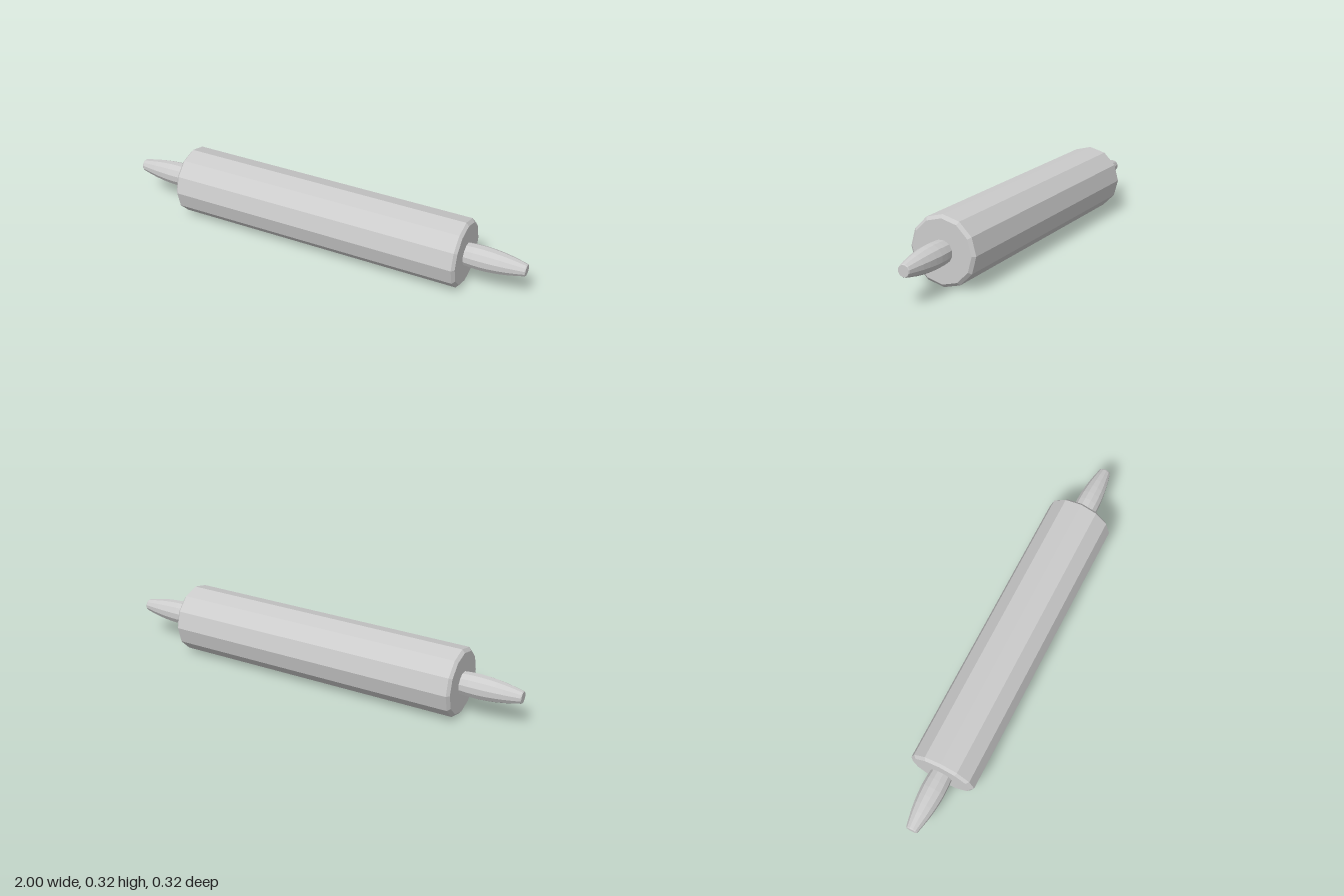
import * as THREE from 'three';

const SIDES = 12;
const AXIS_Y = 0.16;

// Turned part along +x from [position, radius] pairs
function turned(name, profile, phase, material) {
  const points = profile.map(([x, r]) => new THREE.Vector2(r, x));
  const geometry = new THREE.LatheGeometry(points, SIDES, phase);
  geometry.rotateZ(-Math.PI / 2);
  const mesh = new THREE.Mesh(geometry, material);
  mesh.name = name;
  return mesh;
}

export function createModel() {
  const model = new THREE.Group();
  model.name = 'rollingPin';
  const material = new THREE.MeshStandardMaterial({ color: 0xcccccc, flatShading: true });

  // Faceted barrel with chamfered ends
  const roller = turned('roller', [
    [-0.72, 0], [-0.72, 0.145], [-0.707, 0.16],
    [0.707, 0.16], [0.72, 0.145], [0.72, 0],
  ], 0, material);
  roller.position.y = AXIS_Y;
  model.add(roller);

  // Bulging handles, turned half a facet against the barrel
  const handleProfile = [
    [0.7, 0.051], [0.72, 0.053], [0.76, 0.056], [0.8, 0.057], [0.84, 0.055],
    [0.88, 0.051], [0.92, 0.045], [0.96, 0.037], [0.995, 0.029], [1, 0.026], [1, 0],
  ];
  for (const [name, turn] of [['leftHandle', 0], ['rightHandle', Math.PI]]) {
    const handle = turned(name, handleProfile, Math.PI / SIDES, material);
    handle.position.y = AXIS_Y;
    handle.rotation.y = turn;
    model.add(handle);
  }
  return model;
}
